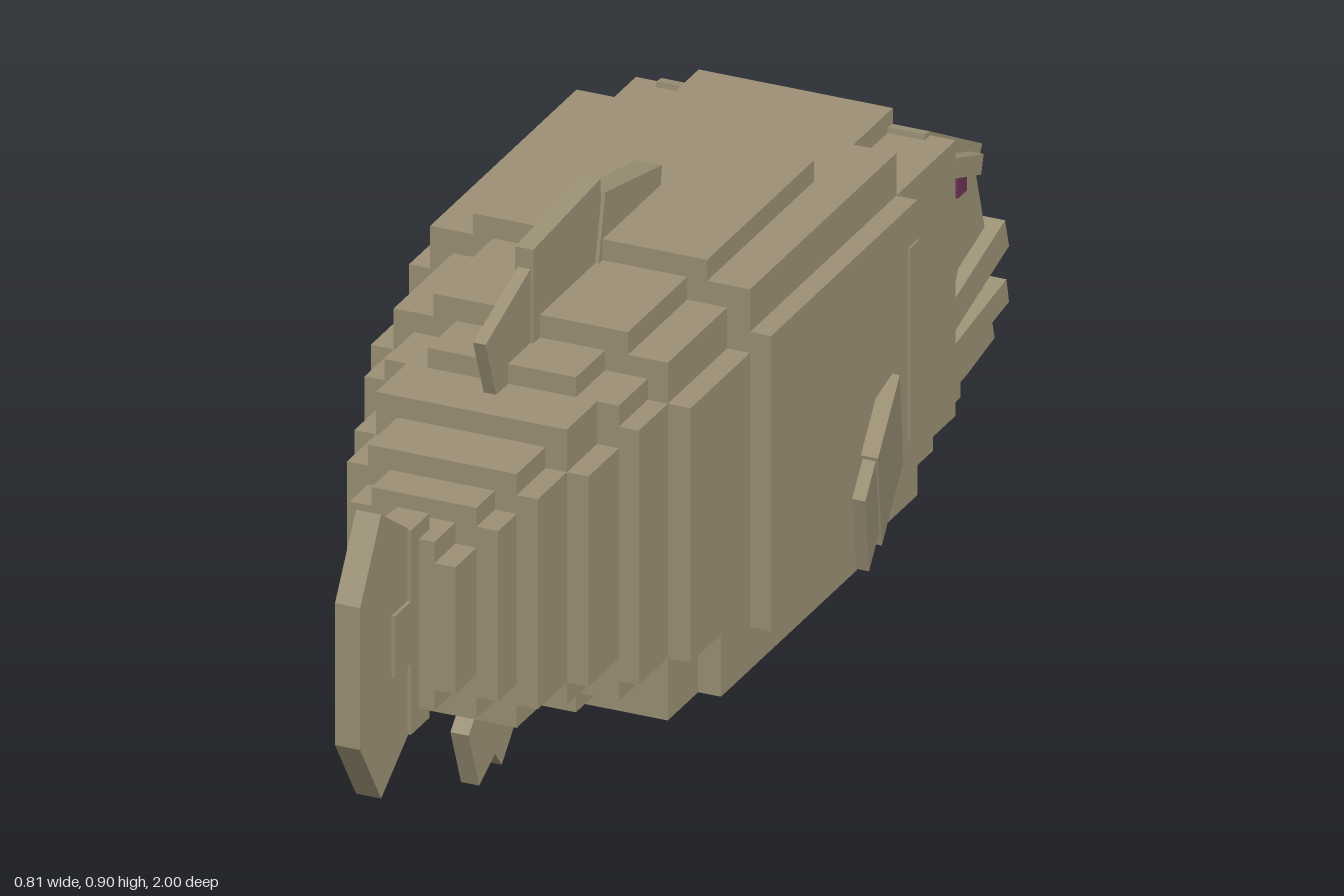
import * as THREE from 'three';

export function createModel() {
  const fish = new THREE.Group();
  const mat = (name, color) => {
    const m = new THREE.MeshStandardMaterial({ color });
    m.name = name;
    return m;
  };
  const skin = mat('olive skin', 0x9c9176);
  const mouthPink = mat('mouth pink', 0x8c5862);
  const eyePurple = mat('eye purple', 0x6a3450);

  const add = (name, geo, material = skin) => {
    const mesh = new THREE.Mesh(geo, material);
    mesh.name = name;
    fish.add(mesh);
    return mesh;
  };
  const box = (name, x0, x1, y0, y1, z0, z1, material) => add(name,
    new THREE.BoxGeometry(x1 - x0, y1 - y0, z1 - z0)
      .translate((x0 + x1) / 2, (y0 + y1) / 2, (z0 + z1) / 2), material);
  // side profile given as [z, y] points, extruded across x
  const prism = (name, pts, x0, x1, material) => {
    const shape = new THREE.Shape(pts.map(([z, y]) => new THREE.Vector2(z, y)));
    const geo = new THREE.ExtrudeGeometry(shape, { depth: x1 - x0, bevelEnabled: false });
    geo.rotateY(-Math.PI / 2).translate(x1, 0, 0);
    return add(name, geo, material);
  };
  const slab = (name, pts, hw, material) => prism(name, pts, -hw, hw, material);

  // body: stepped segments, each of nested boxes [half width, bottom, top]
  const segments = [
    [-0.70, -0.475, [[0.28, 0.2, 0.685], [0.24, 0.13, 0.685], [0.17, 0.13, 0.72]]],
    [-0.475, 0.08, [[0.317, 0.165, 0.685], [0.28, 0.13, 0.76]]],
    [-0.325, 0.08, [[0.205, 0.1, 0.797]]],
    [0.08, 0.305, [[0.28, 0.2, 0.648], [0.24, 0.13, 0.72], [0.17, 0.09, 0.76]]],
    [0.305, 0.415, [[0.24, 0.2, 0.648], [0.205, 0.165, 0.685], [0.13, 0.13, 0.72]]],
    [0.415, 0.53, [[0.205, 0.24, 0.61], [0.167, 0.2, 0.685]]],
    [0.53, 0.64, [[0.167, 0.24, 0.61], [0.13, 0.2, 0.647]]],
    [0.64, 0.71, [[0.13, 0.277, 0.577], [0.092, 0.24, 0.61]]],
    [0.71, 0.79, [[0.092, 0.317, 0.54], [0.055, 0.28, 0.577]]],
  ];
  segments.forEach(([z0, z1, layers], i) => layers.forEach(([hw, y0, y1]) =>
    box(`bodySegment${i + 1}`, -hw, hw, y0, y1, z0, z1)));
  box('bellyUpper', -0.28, 0.28, 0.09, 0.2, -0.325, 0.19);
  box('bellyMiddle', -0.24, 0.24, 0.09, 0.2, -0.325, 0.305);
  box('bellyLower', -0.205, 0.205, 0.052, 0.2, -0.175, 0.19);
  box('gillPlate', -0.32, 0.32, 0.275, 0.615, -0.476, -0.44);

  // head
  slab('forehead', [[-0.68, 0.695], [-0.70, 0.692], [-0.898, 0.585], [-0.785, 0.36], [-0.66, 0.42]], 0.235);
  slab('snout', [[-0.68, 0.50], [-0.875, 0.525], [-0.92, 0.54], [-0.963, 0.40], [-0.69, 0.31]], 0.21);
  slab('upperLip', [[-0.69, 0.325], [-0.985, 0.412], [-1, 0.36], [-0.69, 0.268]], 0.235);
  slab('mouth', [[-0.68, 0.30], [-0.953, 0.375], [-0.953, 0.27], [-0.68, 0.24]], 0.21, mouthPink);
  slab('lowerLip', [[-0.795, 0.275], [-0.99, 0.306], [-1, 0.262], [-0.795, 0.232]], 0.235);
  slab('lowerJaw', [[-0.68, 0.255], [-0.965, 0.25], [-0.978, 0.205], [-0.87, 0.185], [-0.68, 0.17]], 0.22);
  slab('chin', [[-0.67, 0.2], [-0.87, 0.2], [-0.87, 0.145], [-0.67, 0.133]], 0.21);

  // tail
  box('tailBase', -0.028, 0.028, 0.245, 0.605, 0.75, 0.82);
  box('tailRoot', -0.028, 0.028, 0.37, 0.48, 0.78, 0.88);
  slab('tailFin', [[0.8, 0.605], [0.815, 0.605], [0.92, 0.675], [1, 0.545],
    [1, 0.295], [0.92, 0.175], [0.815, 0.245], [0.8, 0.245]], 0.022);

  // fins on the centre line
  slab('dorsalFinFront', [[-0.145, 0.83], [0.07, 0.875], [0.1, 0.74], [-0.138, 0.78]], 0.022);
  slab('dorsalFinMiddle', [[0.075, 0.9], [0.33, 0.885], [0.33, 0.7], [0.07, 0.75]], 0.016);
  slab('dorsalFinRear', [[0.3, 0.86], [0.33, 0.85], [0.5, 0.79], [0.458, 0.68], [0.3, 0.68]], 0.011);
  slab('analFin', [[0.575, 0.135], [0.535, 0.03], [0.475, 0.06], [0.45, 0.03],
    [0.345, 0.135], [0.4, 0.21], [0.5, 0.21]], 0.016);

  // paired parts
  for (const s of [1, -1]) {
    const side = s > 0 ? 'left' : 'right';
    const pair = (name, pts, a, b, material) =>
      prism(side + name, pts, Math.min(s * a, s * b), Math.max(s * a, s * b), material);

    pair('Brow', [[-0.745, 0.63], [-0.85, 0.592], [-0.84, 0.56], [-0.738, 0.597]], 0.22, 0.26);
    pair('EyeRim', [[-0.765, 0.595], [-0.83, 0.595], [-0.83, 0.53], [-0.765, 0.53]], 0.23, 0.243);
    pair('Eye', [[-0.78, 0.576], [-0.815, 0.576], [-0.815, 0.541], [-0.78, 0.541]], 0.24, 0.247, eyePurple);
    pair('PelvicFin', [[-0.245, 0.06], [-0.32, 0], [-0.41, 0.13], [-0.3, 0.15]], 0.13, 0.16);

    // side fins flare outward toward the tail
    const flare = (mesh) => {
      const p = mesh.geometry.attributes.position;
      for (let i = 0; i < p.count; i++) p.setX(i, p.getX(i) + s * (p.getZ(i) + 0.41) * 0.27);
      mesh.geometry.computeVertexNormals();
    };
    flare(pair('SideFinInner', [[-0.18, 0.37], [-0.38, 0.42], [-0.41, 0.25], [-0.215, 0.2]], 0.292, 0.322));
    flare(pair('SideFinOuter', [[-0.085, 0.34], [-0.185, 0.365], [-0.215, 0.225], [-0.12, 0.2]], 0.295, 0.318));
  }
  return fish;
}
